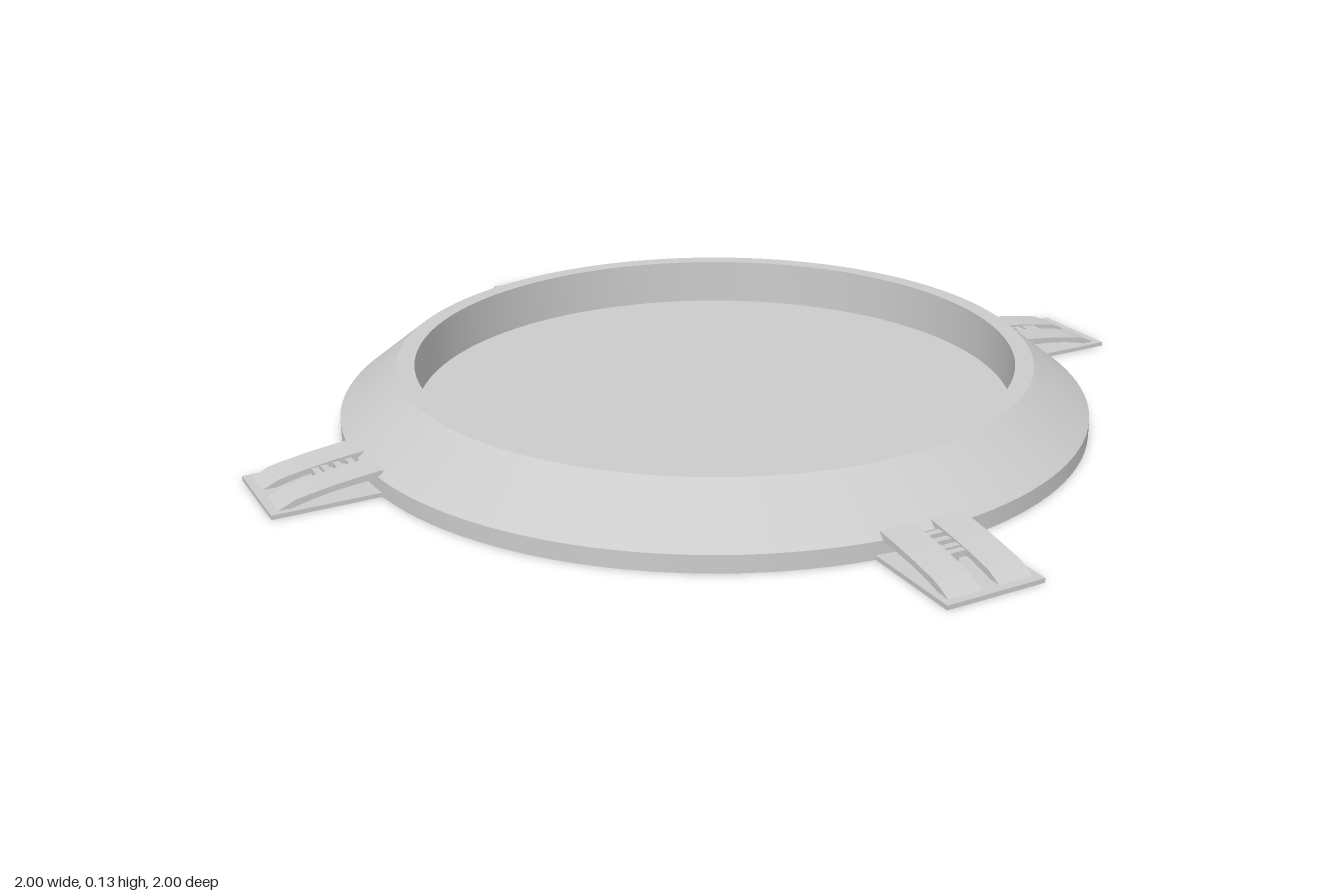
import * as THREE from 'three';
import { toCreasedNormals } from 'three/addons/utils/BufferGeometryUtils.js';

const material = new THREE.MeshStandardMaterial({ color: 0xcccccc });

function addMesh(parent, name, geometry, x = 0, y = 0, z = 0) {
  const mesh = new THREE.Mesh(geometry, material);
  mesh.name = name;
  mesh.position.set(x, y, z);
  parent.add(mesh);
  return mesh;
}

// Shallow tray: flat base, short outer wall, sloped shoulder, flat rim, recessed floor
function trayGeometry() {
  const profile = [
    [0, 0], [0.797, 0], [0.797, 0.036], [0.677, 0.131],
    [0.638, 0.131], [0.638, 0.03], [0, 0.03],
  ].map(([r, y]) => new THREE.Vector2(r, y));
  return toCreasedNormals(new THREE.LatheGeometry(profile, 128), 0.35);
}

// Arched spring strip, side profile in (radius, height), extruded across its width
function stripGeometry(width) {
  const s = new THREE.Shape();
  s.moveTo(0.775, 0.049);
  s.quadraticCurveTo(0.87, 0.041, 0.95, 0.024);
  s.lineTo(0.983, 0.009);
  s.lineTo(0.955, 0.009);
  s.quadraticCurveTo(0.88, 0.03, 0.775, 0.034);
  s.closePath();
  const g = new THREE.ExtrudeGeometry(s, { depth: width, bevelEnabled: false, curveSegments: 8 });
  g.translate(0, 0, -width / 2);
  return toCreasedNormals(g, 0.3);
}

// Tab pointing along +x: thin plate, two arched strips, small rungs between them
function createTab() {
  const tab = new THREE.Group();
  tab.name = 'tab';
  addMesh(tab, 'tabPlate', new THREE.BoxGeometry(0.25, 0.009, 0.208), 0.875, 0.0045, 0);
  const strip = stripGeometry(0.072);
  for (const side of [-1, 1]) addMesh(tab, 'springStrip', strip, 0, 0, side * 0.054);
  const rung = new THREE.BoxGeometry(0.014, 0.012, 0.038);
  [0.81, 0.835, 0.86, 0.878].forEach((r, i) => {
    addMesh(tab, 'rung', rung, r, 0.034 - i * 0.002, 0);
  });
  addMesh(tab, 'rungSpine', new THREE.BoxGeometry(0.08, 0.016, 0.008), 0.845, 0.016, 0);
  return tab;
}

export function createModel() {
  const model = new THREE.Group();
  model.name = 'tray';
  addMesh(model, 'trayBody', trayGeometry(), 0.005, 0, -0.004);
  // Four tabs around the tray
  for (let i = 0; i < 4; i++) {
    const tab = createTab();
    tab.rotation.y = (i * Math.PI) / 2;
    model.add(tab);
  }
  return model;
}
